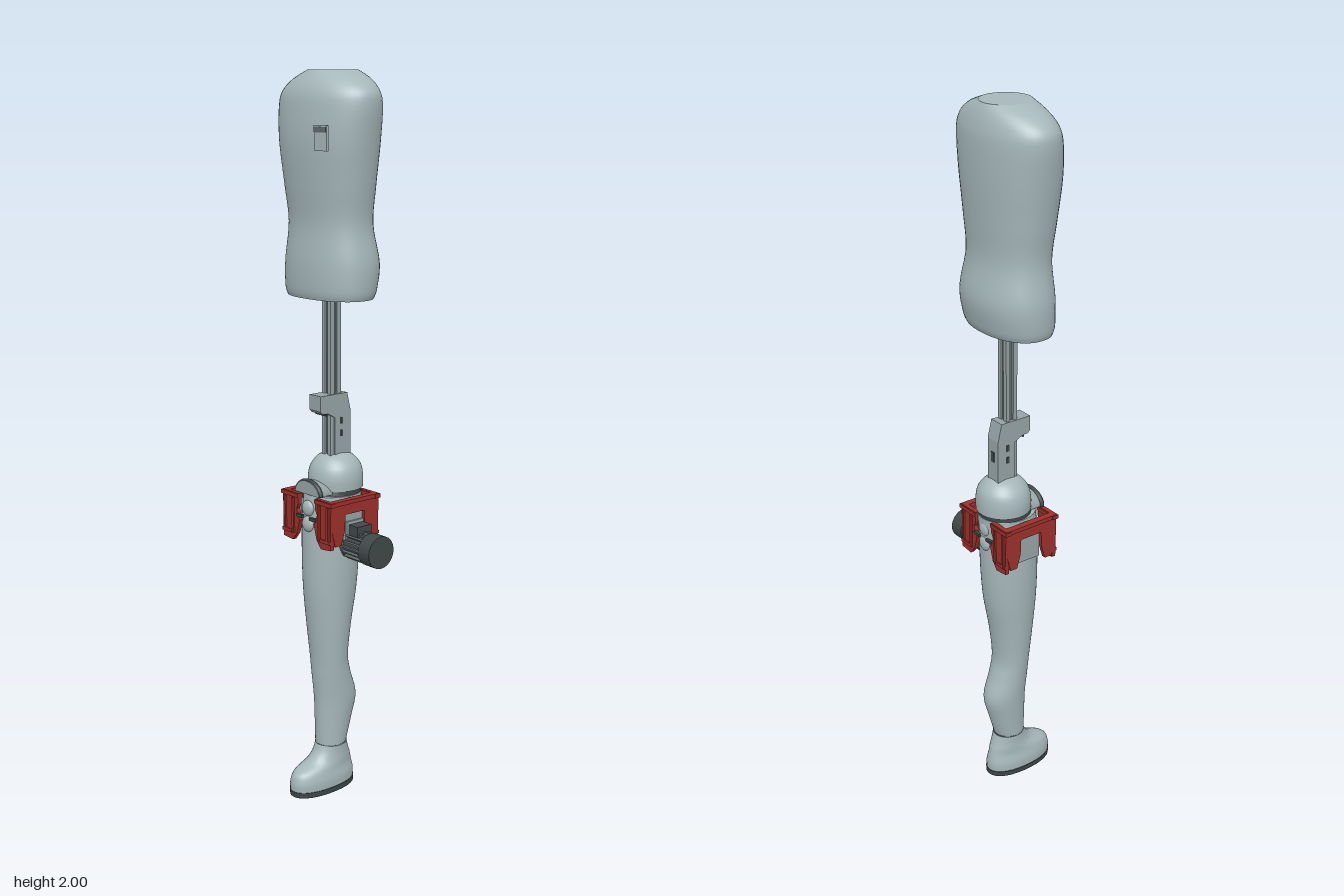
import * as THREE from 'three';

const material = (name, color) => new THREE.MeshStandardMaterial({ name, color });

// Closed body lofted from rows of [y, halfWidth, zFront, zBack, roundness]
function loft(rows, steps = 5, sides = 48) {
  const rings = [];
  for (let r = 0; r < rows.length - 1; r++) {
    const [p, a, b, n] = [rows[Math.max(r - 1, 0)], rows[r], rows[r + 1], rows[Math.min(r + 2, rows.length - 1)]];
    for (let s = 0; s < steps; s++) {
      const t = s / steps;
      rings.push(a.map((v, k) => v + 0.5 * t * (b[k] - p[k] + t * (2 * p[k] - 5 * v + 4 * b[k] - n[k] + t * (3 * (v - b[k]) + n[k] - p[k])))));
    }
  }
  rings.push(rows[rows.length - 1]);
  const pos = [], idx = [];
  const addRing = ([y, hx, zf, zb, e]) => {
    for (let i = 0; i < sides; i++) {
      const a = (i / sides) * Math.PI * 2, c = Math.cos(a), s = Math.sin(a);
      const x = Math.sign(c) * Math.abs(c) ** (2 / e), z = Math.sign(s) * Math.abs(s) ** (2 / e);
      pos.push(x * hx, y, (zf + zb) / 2 + (z * (zf - zb)) / 2);
    }
  };
  rings.forEach(addRing);
  for (let j = 0; j < rings.length - 1; j++) {
    for (let i = 0; i < sides; i++) {
      const k = (i + 1) % sides, a = j * sides + i, b = j * sides + k;
      idx.push(a, a + sides, b + sides, a, b + sides, b);
    }
  }
  // Flat end caps with their own vertices
  [[rings[0], true], [rings[rings.length - 1], false]].forEach(([ring, down]) => {
    const base = pos.length / 3;
    addRing(ring);
    for (let i = 1; i < sides - 1; i++) {
      idx.push(base, ...(down ? [base + i, base + i + 1] : [base + i + 1, base + i]));
    }
  });
  const g = new THREE.BufferGeometry();
  g.setAttribute('position', new THREE.Float32BufferAttribute(pos, 3));
  g.setIndex(idx);
  g.computeVertexNormals();
  return g;
}

function plate(points, depth) {
  const shape = new THREE.Shape(points.map(([x, y]) => new THREE.Vector2(x, y)));
  return new THREE.ExtrudeGeometry(shape, { depth, bevelEnabled: false });
}

export function createModel() {
  const model = new THREE.Group();
  model.name = 'mannequin';
  const shell = material('shell grey', 0xa6b7ba);
  const metal = material('metal grey', 0x96a4a7);
  const slot = material('slot grey', 0x5f6b6d);
  const dark = material('dark grey', 0x3f4849);
  const red = material('brace red', 0x9c302b);

  const body = new THREE.Group();
  body.name = 'body';
  body.position.x = -0.018;
  model.add(body);
  const add = (name, geo, mat, x = 0, y = 0, z = 0, parent = body) => {
    const m = new THREE.Mesh(geo, mat);
    m.name = name;
    m.position.set(x, y, z);
    parent.add(m);
    return m;
  };
  const box = (name, w, h, d, mat, x, y, z, parent) => add(name, new THREE.BoxGeometry(w, h, d), mat, x, y, z, parent);

  // Torso with waist, shoulders and flat neck
  add('torso', loft([
    [1.415, 0.138, 0.073, -0.1, 2.2], [1.44, 0.145, 0.079, -0.11, 2.2], [1.51, 0.146, 0.08, -0.12, 2.2],
    [1.61, 0.131, 0.073, -0.103, 2.2], [1.71, 0.142, 0.083, -0.107, 2.2], [1.82, 0.157, 0.092, -0.113, 2.2],
    [1.91, 0.167, 0.087, -0.114, 2.1], [1.95, 0.158, 0.078, -0.109, 2], [1.98, 0.118, 0.06, -0.1, 2], [2, 0.066, 0.043, -0.09, 2],
  ]), shell);

  // Chest pocket
  box('pocket', 0.05, 0.064, 0.007, shell, 0.083, 1.832, 0.087);
  box('pocketFlap', 0.046, 0.014, 0.002, slot, 0.083, 1.853, 0.0912);

  // Grooved pole
  box('poleCore', 0.026, 0.46, 0.026, slot, 0, 1.2, -0.018);
  for (const sx of [-1, 1]) for (const sz of [-1, 1]) {
    box('poleRail', 0.013, 0.46, 0.013, metal, sx * 0.0115, 1.2, -0.018 + sz * 0.0115);
  }

  // Pole clamp, drawn as a side profile
  const clamp = add('clamp', plate([
    [-0.04, 1.15], [-0.04, 1.108], [-0.032, 1.1], [-0.015, 1.1], [0.012, 1.085],
    [0.012, 0.97], [0.067, 0.97], [0.067, 1.1], [0.055, 1.15],
  ], 0.046), metal, -0.023);
  clamp.rotation.y = Math.PI / 2;
  box('clampSeam', 0.044, 0.008, 0.004, dark, 0, 1.097, 0.018);
  box('clampSlot', 0.01, 0.1, 0.004, slot, 0, 1.03, -0.012);
  for (const y of [1.04, 1.075]) for (const s of [-1, 1]) box('clampBolt', 0.004, 0.018, 0.008, dark, s * 0.023, y, -0.035);
  box('clampWindow', 0.012, 0.03, 0.004, dark, 0, 1.05, -0.067);

  // Hip dome and its groove
  add('hipDome', loft([
    [0.888, 0.076, 0.042, -0.108, 2], [0.92, 0.077, 0.042, -0.108, 2], [0.95, 0.069, 0.034, -0.102, 2],
    [0.974, 0.047, 0.014, -0.082, 2], [0.984, 0.022, -0.012, -0.058, 2], [0.986, 0.002, -0.033, -0.037, 2],
  ]), shell);
  add('hipGroove', loft([[0.872, 0.072, 0.045, -0.102, 2], [0.889, 0.072, 0.038, -0.103, 2]], 1), dark);

  // Front hip hood
  const hood = add('hoodRim', new THREE.TorusGeometry(0.05, 0.006, 8, 24, Math.PI), dark, 0, 0.88, 0.062);
  hood.scale.y = 0.75;
  const hoodBody = add('hood', new THREE.CylinderGeometry(0.05, 0.05, 0.06, 28, 1, false, Math.PI / 2, Math.PI), metal, 0, 0.88, 0.04);
  hoodBody.rotation.x = Math.PI / 2;
  hoodBody.scale.z = 0.72;

  // Leg with knee and calf
  add('leg', loft([
    [0.132, 0.042, 0.03, -0.06, 2], [0.2, 0.046, 0.032, -0.08, 2], [0.27, 0.051, 0.034, -0.096, 2],
    [0.34, 0.053, 0.04, -0.074, 2], [0.4, 0.056, 0.044, -0.061, 2], [0.5, 0.064, 0.055, -0.071, 2],
    [0.6, 0.071, 0.065, -0.089, 2], [0.7, 0.075, 0.068, -0.097, 2], [0.8, 0.076, 0.067, -0.1, 2], [0.875, 0.075, 0.06, -0.104, 2],
  ]), shell);

  // Foot and sole
  add('foot', loft([
    [0.015, 0.052, 0.124, -0.088, 2.2], [0.04, 0.052, 0.124, -0.088, 2.2], [0.066, 0.047, 0.112, -0.083, 2.1],
    [0.088, 0.044, 0.065, -0.078, 2], [0.11, 0.042, 0.042, -0.07, 2], [0.132, 0.042, 0.031, -0.063, 2],
  ]), shell);
  add('sole', loft([[0, 0.053, 0.124, -0.089, 2.2], [0.016, 0.054, 0.126, -0.09, 2.2]], 1), dark);
  add('ankleSeam', loft([[0.13, 0.0425, 0.031, -0.0635, 2], [0.134, 0.0425, 0.031, -0.0635, 2]], 1), slot);

  // Brace around the thigh
  const brace = new THREE.Group();
  brace.name = 'brace';
  brace.position.z = -0.015;
  body.add(brace);
  const side = [[-0.08, 0.875], [-0.08, 0.79], [-0.07, 0.75], [-0.048, 0.75], [-0.036, 0.79], [-0.034, 0.835],
    [0.034, 0.835], [0.036, 0.79], [0.048, 0.75], [0.07, 0.75], [0.08, 0.79], [0.08, 0.875]];
  for (const s of [-1, 1]) {
    const panel = add('braceSide', plate(side, 0.012), red, s * 0.096 - 0.006, 0, 0, brace);
    panel.rotation.y = Math.PI / 2;
    box('braceSideInset', 0.008, 0.085, 0.07, metal, s * 0.088, 0.8, 0, brace);
    box('braceSideRim', 0.02, 0.012, 0.168, red, s * 0.095, 0.869, 0, brace);
    for (const f of [-1, 1]) {
      const z = f * 0.08;
      // Corner plate with ribs
      const corner = [[0.102, 0.875], [0.036, 0.875], [0.036, 0.845], [0.044, 0.83], [0.03, 0.8], [0.042, 0.76], [0.06, 0.738], [0.1, 0.742]]
        .map(([x, y]) => [x * s, y]);
      add('braceCorner', plate(corner, 0.012), red, 0, 0, z - 0.006, brace);
      for (const x of [0.055, 0.09]) box('braceRib', 0.007, 0.1, 0.006, red, s * x, 0.81, z + f * 0.008, brace);
      box('braceRim', 0.072, 0.011, 0.018, red, s * 0.071, 0.868, z, brace);
      box('braceLowerRim', 0.04, 0.009, 0.01, red, s * 0.08, 0.763, z + f * 0.005, brace);
      box('hingeArm', 0.024, 0.008, 0.008, dark, s * 0.028, 0.814, z + f * 0.006, brace);
    }
  }
  // Hinge knobs between the corner plates
  for (const f of [-1, 1]) for (const y of [0.795, 0.84]) {
    const knob = add('hingeKnob', new THREE.SphereGeometry(0.022, 20, 12), shell, 0, y, f * 0.081, brace);
    knob.scale.z = 0.5;
  }

  // Motor on the left side
  const motor = new THREE.Group();
  motor.name = 'motor';
  motor.position.set(0, 0.744, -0.02);
  model.add(motor);
  const drum = (name, r, len, mat, x) => {
    add(name, new THREE.CylinderGeometry(r, r, len, 32), mat, x, 0, 0, motor).rotation.z = Math.PI / 2;
  };
  drum('motorBody', 0.036, 0.09, dark, 0.1);
  drum('motorCap', 0.045, 0.043, dark, 0.1635);
  drum('motorFlange', 0.042, 0.008, slot, 0.068);
  for (let i = 0; i < 16; i++) {
    const a = (i / 16) * Math.PI * 2;
    const fin = box('motorFin', 0.076, 0.011, 0.005, slot, 0.105, 0.038 * Math.cos(a), 0.038 * Math.sin(a), motor);
    fin.rotation.x = a;
  }
  box('motorTerminalBox', 0.035, 0.03, 0.05, dark, 0.1, 0.045, 0, motor);
  box('motorMount', 0.02, 0.075, 0.06, metal, 0.07, 0.03, 0, motor);

  return model;
}
